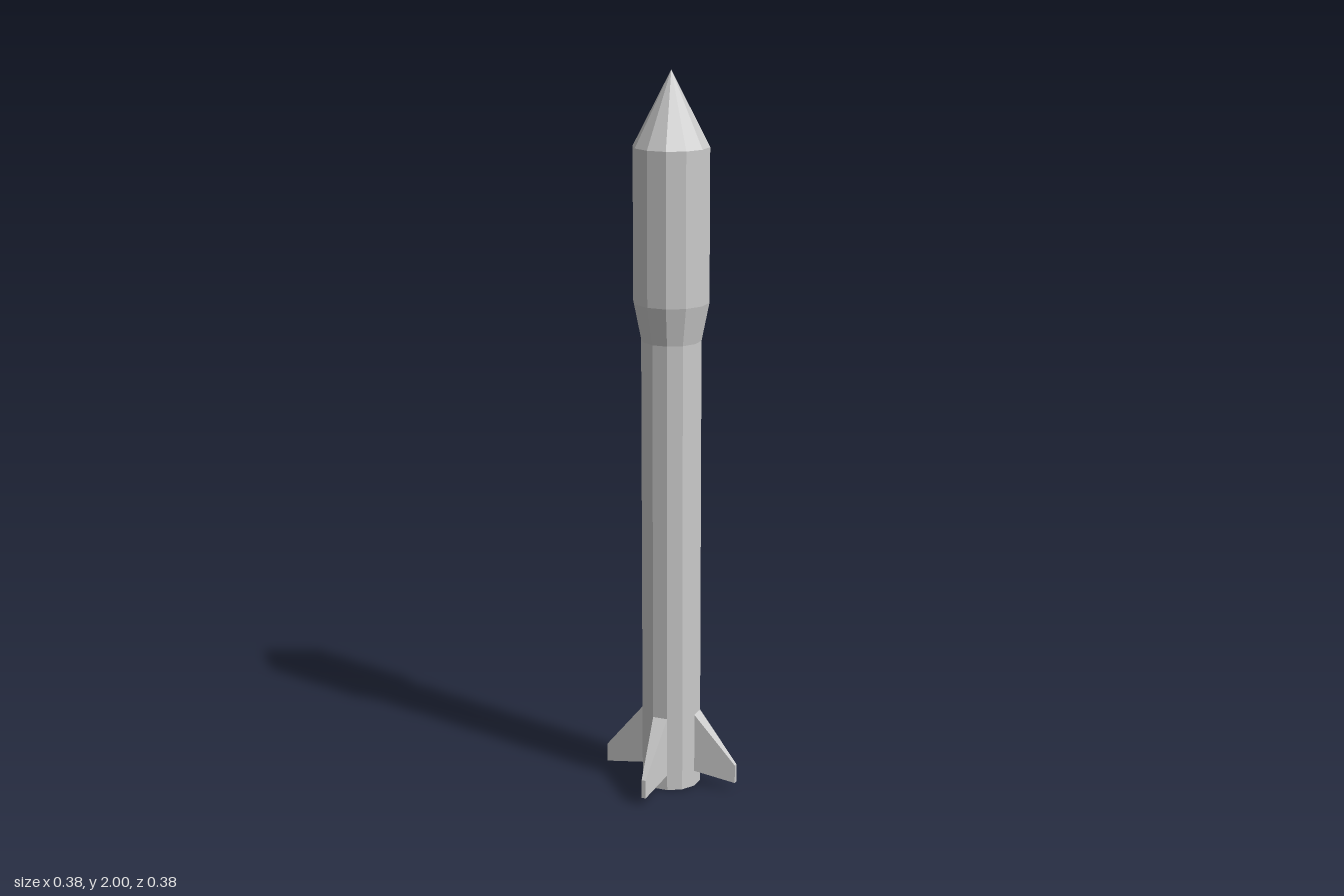
import * as THREE from 'three';

const SIDES = 12;
const BODY_R = 0.082;
const NOSE_R = 0.103;

export function createModel() {
  const rocket = new THREE.Group();
  rocket.name = 'rocket';
  const material = new THREE.MeshStandardMaterial({ color: 0xcccccc, flatShading: true });

  const add = (name, geometry, parent = rocket) => {
    const mesh = new THREE.Mesh(geometry, material);
    mesh.name = name;
    parent.add(mesh);
    return mesh;
  };
  // Faceted turned part from [radius, height] pairs
  const turned = (name, profile) =>
    add(name, new THREE.LatheGeometry(profile.map(([r, y]) => new THREE.Vector2(r, y)), SIDES));

  // Hollow-ended body tube: recess ceiling, inner wall, bottom rim, outer wall
  turned('bodyTube', [[0, 0.15], [0.055, 0.15], [0.055, 0], [BODY_R, 0], [BODY_R, 1.28]]);
  turned('shoulder', [[BODY_R, 1.28], [NOSE_R, 1.385]]);
  turned('payloadSection', [[NOSE_R, 1.385], [NOSE_R, 1.8]]);
  turned('noseCone', [[NOSE_R, 1.8], [0, 2]]);

  // Fins: a swept outline whose thickness tapers from one body facet to a narrow tip
  const rootX = BODY_R * Math.cos(Math.PI / SIDES);
  const rootHalf = BODY_R * Math.sin(Math.PI / SIDES);
  const tipX = 0.196;
  const tipHalf = 0.006;
  const outline = new THREE.Shape([
    new THREE.Vector2(rootX, 0.045),
    new THREE.Vector2(tipX, 0.022),
    new THREE.Vector2(tipX, 0.075),
    new THREE.Vector2(rootX, 0.215),
  ]);
  const finGeometry = new THREE.ExtrudeGeometry(outline, { depth: 1, bevelEnabled: false });
  const pos = finGeometry.attributes.position;
  for (let i = 0; i < pos.count; i++) {
    const half = pos.getX(i) > 0.15 ? tipHalf : rootHalf;
    pos.setZ(i, (pos.getZ(i) * 2 - 1) * half);
  }
  finGeometry.computeVertexNormals();

  const fins = new THREE.Group();
  fins.name = 'fins';
  rocket.add(fins);
  for (let i = 0; i < 4; i++) {
    add('fin' + (i + 1), finGeometry, fins).rotation.y = Math.PI / SIDES + (i * Math.PI) / 2;
  }

  return rocket;
}
